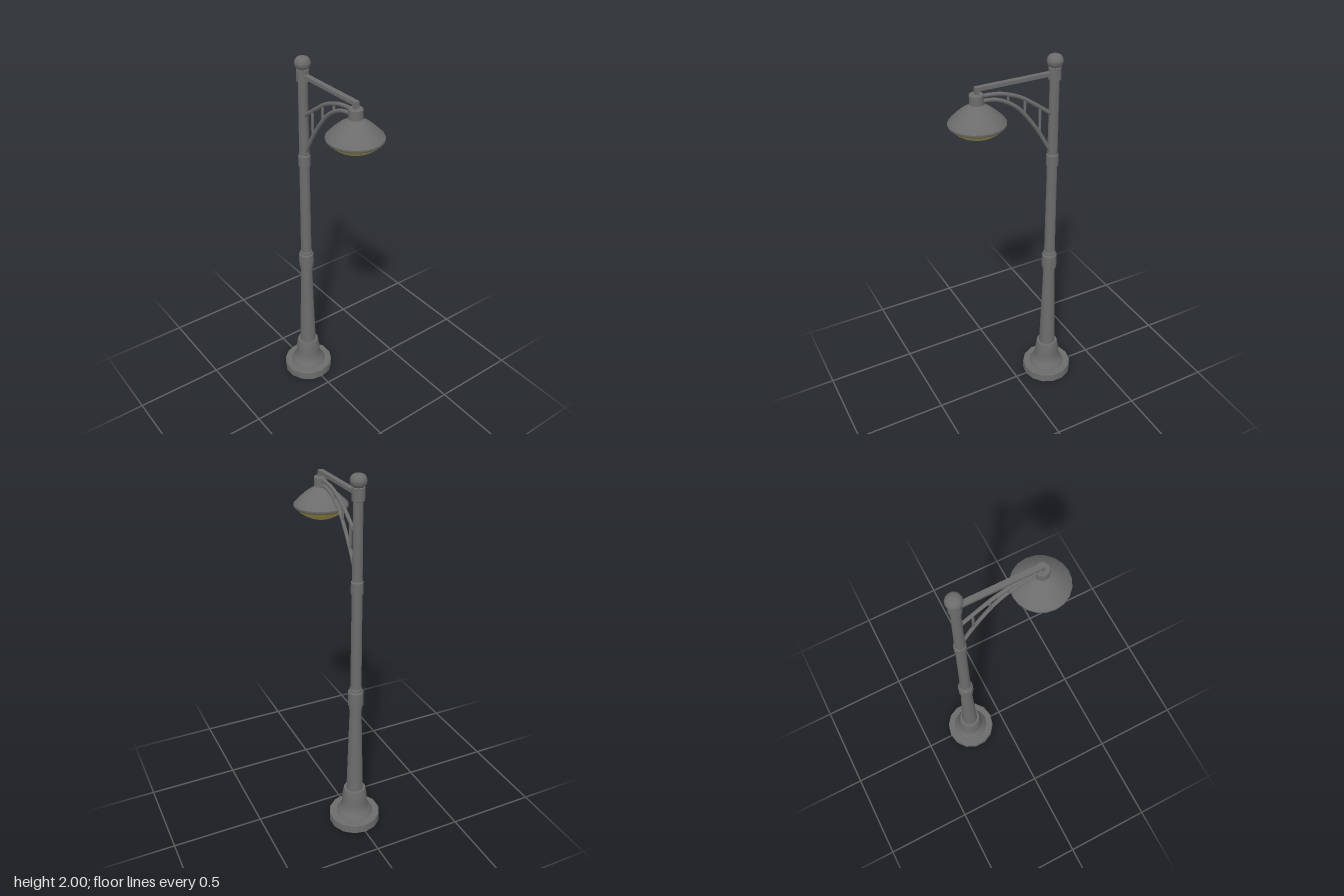
import * as THREE from 'three';
import { toCreasedNormals } from 'three/addons/utils/BufferGeometryUtils.js';

const iron = new THREE.MeshStandardMaterial({ color: 0x6c6c6c, side: THREE.DoubleSide });
iron.name = 'grey iron';
const glass = new THREE.MeshStandardMaterial({ color: 0xb3a350, side: THREE.DoubleSide });
glass.name = 'yellow glass';

const POLE_Z = -0.208, LAMP_Z = 0.21;

export function createModel() {
  const model = new THREE.Group();
  model.name = 'streetLamp';

  const add = (name, geometry, material = iron, x = 0, y = 0, z = 0) => {
    const mesh = new THREE.Mesh(geometry, material);
    mesh.name = name;
    mesh.position.set(x, y, z);
    model.add(mesh);
  };
  // Turned part: profile of [radius, height] pairs, bottom to top
  const turned = (name, profile, z, sides, material = iron) => {
    const points = profile.map(([r, y]) => new THREE.Vector2(r, y));
    add(name, toCreasedNormals(new THREE.LatheGeometry(points, sides), 0.6), material, 0, 0, z);
  };

  // Hollow foot, open underneath, with a flared pedestal
  turned('base', [[0.143, 0], [0.143, 0.048], [0.139, 0.053], [0.103, 0.053], [0.1, 0.062], [0.085, 0.078],
    [0.075, 0.1], [0.071, 0.13], [0.069, 0.17], [0.063, 0.205], [0.06, 0.217], [0.044, 0.217]], POLE_Z, 14);

  // Tapered shafts and the collars between them
  turned('lowerShaft', [[0.047, 0.215], [0.032, 0.745]], POLE_Z, 14);
  turned('middleCollar', [[0.031, 0.743], [0.035, 0.746], [0.035, 0.766], [0.041, 0.77], [0.042, 0.81],
    [0.041, 0.85], [0.035, 0.855], [0.034, 0.868], [0.029, 0.874]], POLE_Z, 14);
  turned('upperShaft', [[0.03, 0.865], [0.027, 1.42], [0.024, 1.89]], POLE_Z, 14);
  turned('upperCollar', [[0.026, 1.408], [0.032, 1.41], [0.032, 1.472], [0.027, 1.478], [0.027, 1.492],
    [0.024, 1.494]], POLE_Z, 14);
  turned('topCollar', [[0.024, 1.874], [0.032, 1.877], [0.032, 1.938], [0.024, 1.941]], POLE_Z, 14);
  turned('ballFinial', [[0.024, 1.938], [0.032, 1.944], [0.039, 1.957], [0.041, 1.97], [0.037, 1.985],
    [0.029, 1.995], [0.018, 2], [0, 2]], POLE_Z, 14);

  // Straight top rod and the short hanger above the lamp
  add('topRod', new THREE.BoxGeometry(0.027, 0.018, 0.405), iron, 0, 1.908, 0.0145);
  add('hanger', new THREE.BoxGeometry(0.027, 0.034, 0.014), iron, 0, 1.891, 0.21);

  // Curved bracket arms, given as [z, y]
  const arm = (name, path) => {
    const curve = new THREE.CatmullRomCurve3(path.map(([z, y]) => new THREE.Vector3(0, y, z)));
    add(name, new THREE.TubeGeometry(curve, 20, 0.01, 8));
  };
  arm('upperArm', [[0.19, 1.868], [0.14, 1.867], [0.077, 1.858], [-0.02, 1.821], [-0.098, 1.77], [-0.2, 1.695]]);
  arm('lowerArm', [[0.19, 1.843], [0.15, 1.842], [0.09, 1.829], [0, 1.775], [-0.07, 1.695], [-0.13, 1.608],
    [-0.2, 1.485]]);

  // Struts between the arms: [z, bottom, top]
  for (const [z, low, high] of [[0.045, 1.804, 1.848], [-0.045, 1.725, 1.806], [-0.13, 1.608, 1.748]]) {
    add('strut', new THREE.CylinderGeometry(0.007, 0.007, high - low, 8), iron, 0, (low + high) / 2, z);
  }

  // Lamp head: socket, shade with rim and glass bowl
  turned('socket', [[0.028, 1.818], [0.03, 1.833], [0.035, 1.835], [0.035, 1.88], [0.032, 1.884], [0, 1.884]],
    LAMP_Z, 20);
  turned('shade', [[0.132, 1.724], [0.138, 1.727], [0.142, 1.734], [0.142, 1.742], [0.137, 1.749], [0.122, 1.764],
    [0.1, 1.785], [0.075, 1.806], [0.05, 1.822], [0.028, 1.833]], LAMP_Z, 20);
  turned('glassBowl', [[0, 1.664], [0.03, 1.667], [0.06, 1.675], [0.09, 1.69], [0.115, 1.707], [0.133, 1.726]],
    LAMP_Z, 20, glass);

  return model;
}
